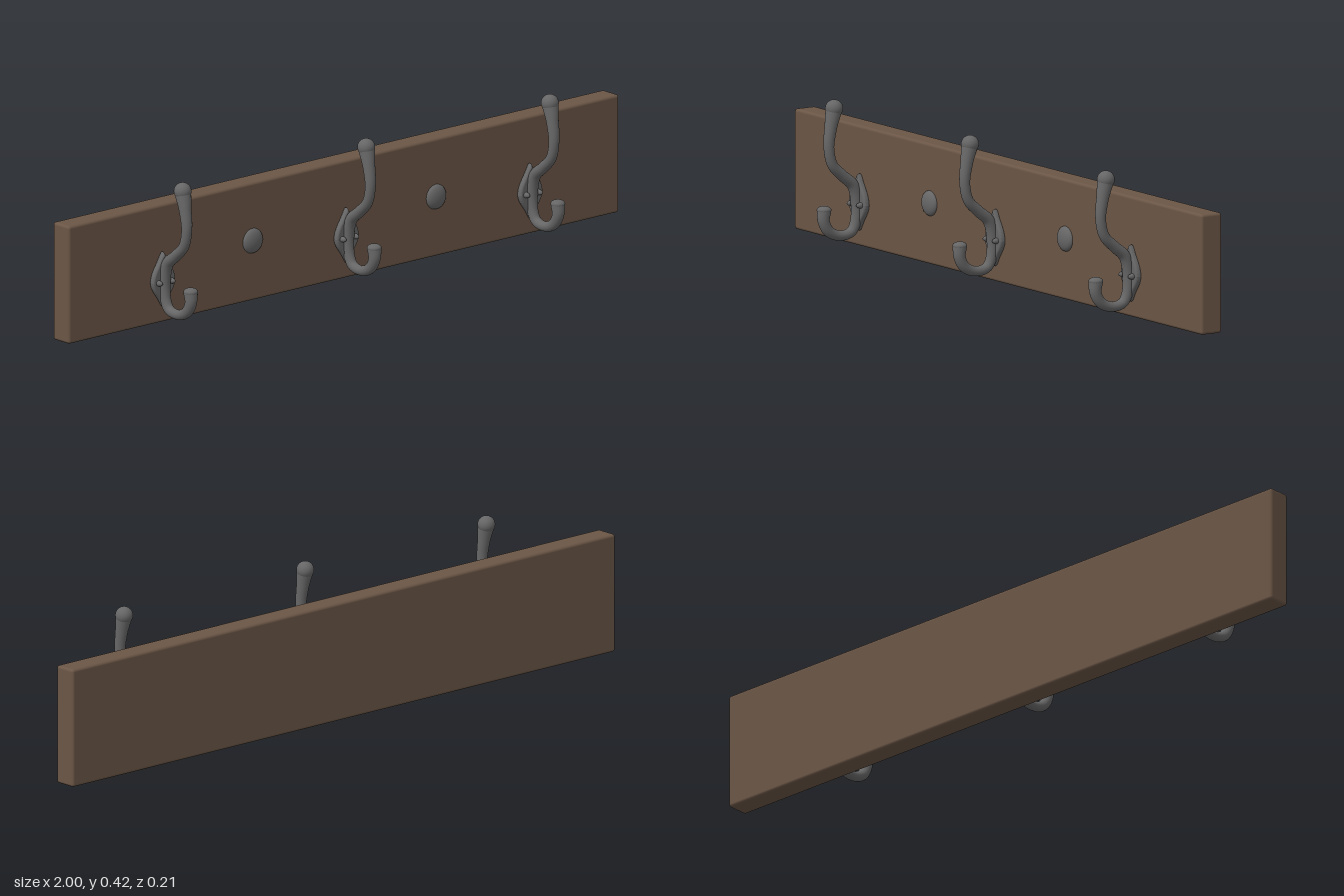
import * as THREE from 'three';
import { RoundedBoxGeometry } from 'three/addons/geometries/RoundedBoxGeometry.js';

const wood = new THREE.MeshStandardMaterial({ color: 0x6b5646 });
const metal = new THREE.MeshStandardMaterial({ color: 0x666666 });
const BOARD_FRONT = -0.038;

function part(name, geometry, material, x = 0, y = 0, z = 0) {
  const mesh = new THREE.Mesh(geometry, material);
  mesh.name = name;
  mesh.position.set(x, y, z);
  return mesh;
}

// Tube along a side profile of [z, y, radius] points, with the radius varying along it
function taperedTube(stations, segments, sides) {
  const curve = new THREE.CatmullRomCurve3(stations.map(([z, y]) => new THREE.Vector3(0, y, z)));
  const geometry = new THREE.TubeGeometry(curve, segments, 1, sides);
  const pos = geometry.attributes.position;
  const v = new THREE.Vector3();
  for (let i = 0; i <= segments; i++) {
    const u = i / segments;
    const centre = curve.getPointAt(u);
    const s = curve.getUtoTmapping(u) * (stations.length - 1);
    const k = Math.min(Math.floor(s), stations.length - 2);
    const radius = THREE.MathUtils.lerp(stations[k][2], stations[k + 1][2], s - k);
    for (let j = 0; j <= sides; j++) {
      const n = i * (sides + 1) + j;
      v.fromBufferAttribute(pos, n).sub(centre).multiplyScalar(radius).add(centre);
      pos.setXYZ(n, v.x, v.y, v.z);
    }
  }
  return geometry;
}

// Leaf-shaped mounting plate, widest at the screws, rounded towards the front
function plateGeometry() {
  const shape = new THREE.Shape();
  shape.moveTo(0, 0.195);
  shape.bezierCurveTo(0.012, 0.165, 0.033, 0.15, 0.035, 0.12);
  shape.bezierCurveTo(0.033, 0.095, 0.012, 0.085, 0, 0.055);
  shape.bezierCurveTo(-0.012, 0.085, -0.033, 0.095, -0.035, 0.12);
  shape.bezierCurveTo(-0.033, 0.15, -0.012, 0.165, 0, 0.195);
  return new THREE.ExtrudeGeometry(shape, {
    depth: 0.004, bevelThickness: 0.007, bevelSize: 0.006, bevelSegments: 4, curveSegments: 10,
  }).translate(0, 0, 0.007);
}

function createHook(x) {
  const hook = new THREE.Group();
  hook.name = 'coatHook';
  hook.position.x = x;

  // Upper prong, S-bend against the board, lower curl
  const stations = [
    [0.053, 0.392, 0.0235], [0.063, 0.345, 0.0175], [0.070, 0.285, 0.0145],
    [0.058, 0.236, 0.0145], [0.025, 0.203, 0.0155], [-0.008, 0.174, 0.0165],
    [-0.021, 0.122, 0.0165], [-0.016, 0.068, 0.015], [-0.002, 0.045, 0.0145],
    [0.033, 0.038, 0.0135], [0.070, 0.053, 0.0155], [0.087, 0.083, 0.0165],
    [0.086, 0.114, 0.020],
  ];
  hook.add(part('hookStem', taperedTube(stations, 72, 20), metal));
  hook.add(part('upperBall', new THREE.SphereGeometry(0.0245, 24, 16), metal, 0, 0.392, 0.053));
  const tip = part('lowerTip', new THREE.SphereGeometry(0.0202, 24, 16), metal, 0, 0.114, 0.086);
  tip.scale.y = 0.55;
  hook.add(tip);

  hook.add(part('mountingPlate', plateGeometry(), metal, 0, 0, BOARD_FRONT));
  // Screws either side of the stem
  for (const side of [-1, 1]) {
    const screw = part('screw', new THREE.SphereGeometry(0.008, 16, 12), metal, side * 0.023, 0.12, -0.019);
    screw.scale.z = 1.8;
    hook.add(screw);
  }
  return hook;
}

export function createModel() {
  const model = new THREE.Group();
  model.name = 'coatRack';

  model.add(part('backBoard', new RoundedBoxGeometry(2, 0.333, 0.067, 3, 0.008), wood, 0, 0.1675, -0.0715));

  for (const x of [-0.667, 0, 0.667]) model.add(createHook(x));

  // Domed covers over the wall fixings
  for (const x of [-0.333, 0.333]) {
    const dome = new THREE.SphereGeometry(0.035, 28, 10, 0, Math.PI * 2, 0, Math.PI / 2).rotateX(Math.PI / 2);
    const cover = part('fixingCover', dome, metal, x, 0.17, BOARD_FRONT);
    cover.scale.z = 0.46;
    model.add(cover);
  }
  return model;
}
